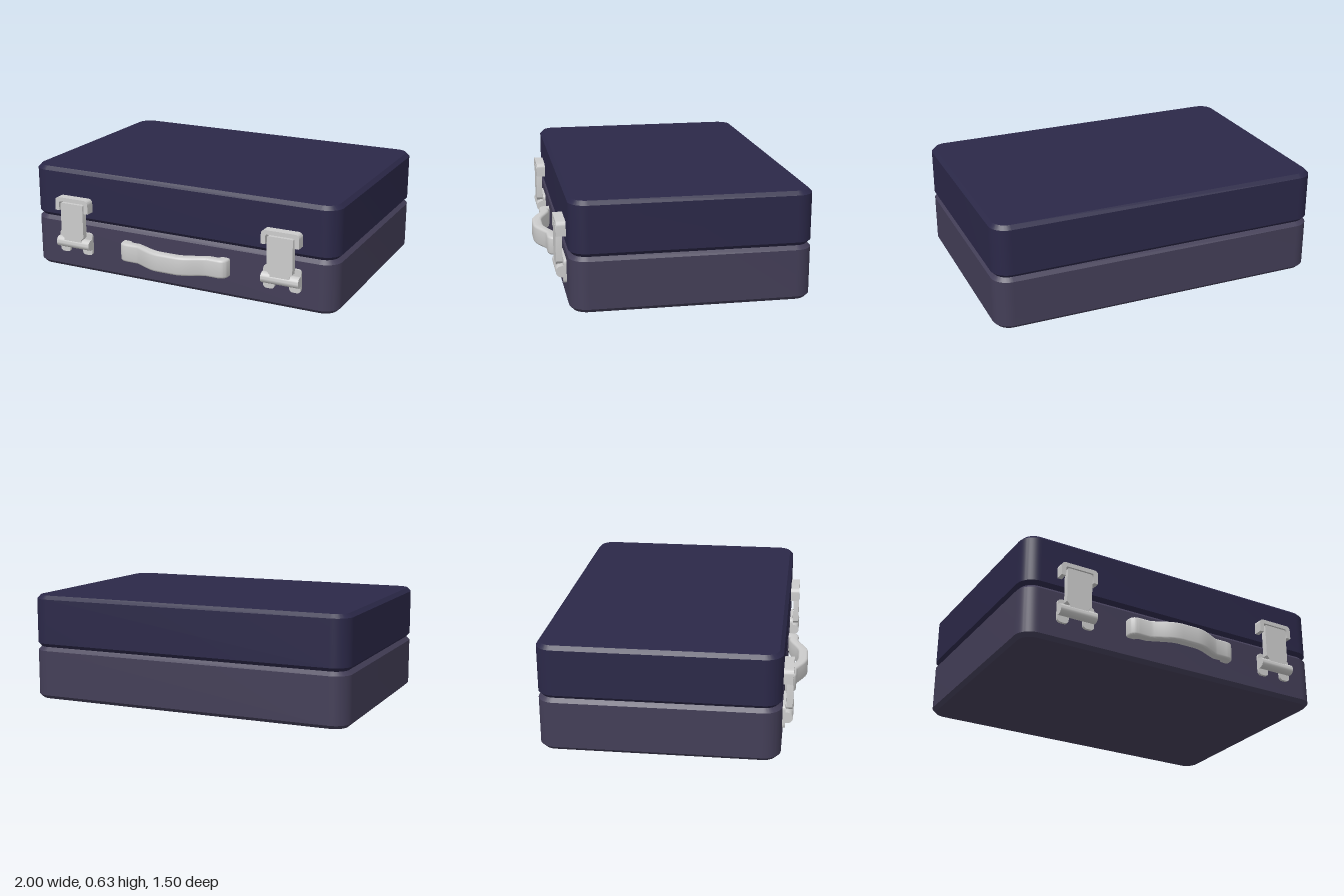
import * as THREE from 'three';
import { toCreasedNormals } from 'three/addons/utils/BufferGeometryUtils.js';

const FRONT = 0.617, BACK = -0.75;

const lidMat = new THREE.MeshStandardMaterial({ color: 0x2b2848 });
const baseMat = new THREE.MeshStandardMaterial({ color: 0x433e57 });
const metalMat = new THREE.MeshStandardMaterial({ color: 0xcccccc });

function roundedRect(x0, y0, x1, y1, r) {
  const s = new THREE.Shape();
  s.absarc(x1 - r, y0 + r, r, -Math.PI / 2, 0);
  s.absarc(x1 - r, y1 - r, r, 0, Math.PI / 2);
  s.absarc(x0 + r, y1 - r, r, Math.PI / 2, Math.PI);
  s.absarc(x0 + r, y0 + r, r, Math.PI, Math.PI * 1.5);
  s.closePath();
  return s;
}

// Extrusion from 0 to depth, with the bevel kept inside the outline
function extrude(shape, depth, bevel, bevelSegments = 1, curveSegments = 8) {
  const g = new THREE.ExtrudeGeometry(shape, {
    depth: depth - 2 * bevel, curveSegments, bevelEnabled: bevel > 0,
    bevelThickness: bevel, bevelSize: bevel, bevelOffset: -bevel, bevelSegments,
  });
  return g.translate(0, 0, bevel);
}

function part(name, geometry, material = metalMat) {
  const mesh = new THREE.Mesh(toCreasedNormals(geometry, 0.6), material);
  mesh.name = name;
  return mesh;
}

// One half of the case: rounded corners and chamfered rims
function shell(name, y0, y1, material) {
  const g = extrude(roundedRect(-1, -FRONT, 1, -BACK, 0.1), y1 - y0, 0.022);
  g.rotateX(-Math.PI / 2).translate(0, y0, 0);
  return part(name, g, material);
}

function latch(x) {
  const group = new THREE.Group();
  group.name = 'latch';
  group.position.set(x, 0, FRONT);

  // Mounting plate with two rounded feet
  const p = new THREE.Shape();
  p.moveTo(-0.115, 0.135);
  p.quadraticCurveTo(-0.115, 0.11, -0.09, 0.11);
  p.lineTo(-0.07, 0.11);
  p.quadraticCurveTo(-0.045, 0.11, -0.045, 0.135);
  p.lineTo(-0.045, 0.17);
  p.lineTo(0.045, 0.17);
  p.lineTo(0.045, 0.135);
  p.quadraticCurveTo(0.045, 0.11, 0.07, 0.11);
  p.lineTo(0.09, 0.11);
  p.quadraticCurveTo(0.115, 0.11, 0.115, 0.135);
  p.lineTo(0.115, 0.225);
  p.quadraticCurveTo(0.115, 0.25, 0.09, 0.25);
  p.lineTo(-0.09, 0.25);
  p.quadraticCurveTo(-0.115, 0.25, -0.115, 0.225);
  p.closePath();
  group.add(part('mountingPlate', extrude(p, 0.021, 0).translate(0, 0, -0.005)));

  // Hinge barrel across the plate
  const barrel = new THREE.CylinderGeometry(0.033, 0.033, 0.23, 24);
  barrel.rotateZ(Math.PI / 2).translate(0, 0.18, 0.027);
  group.add(part('hingeBarrel', barrel));

  // Flap that swings up over the seam
  const f = new THREE.Shape();
  f.moveTo(-0.06, 0.18);
  f.lineTo(0.06, 0.18);
  f.lineTo(0.06, 0.21);
  f.lineTo(0.078, 0.228);
  f.lineTo(0.078, 0.425);
  f.quadraticCurveTo(0.078, 0.435, 0.068, 0.435);
  f.lineTo(-0.068, 0.435);
  f.quadraticCurveTo(-0.078, 0.435, -0.078, 0.425);
  f.lineTo(-0.078, 0.228);
  f.lineTo(-0.06, 0.21);
  f.closePath();
  group.add(part('flap', extrude(f, 0.036, 0).translate(0, 0, 0.019)));

  // Arched catch on the lid
  const c = new THREE.Shape();
  c.moveTo(0.115, 0.385);
  c.lineTo(0.115, 0.44);
  c.quadraticCurveTo(0.115, 0.468, 0.087, 0.468);
  c.lineTo(-0.087, 0.468);
  c.quadraticCurveTo(-0.115, 0.468, -0.115, 0.44);
  c.lineTo(-0.115, 0.385);
  c.lineTo(-0.088, 0.385);
  c.lineTo(-0.088, 0.43);
  c.quadraticCurveTo(-0.088, 0.443, -0.075, 0.443);
  c.lineTo(0.075, 0.443);
  c.quadraticCurveTo(0.088, 0.443, 0.088, 0.43);
  c.lineTo(0.088, 0.385);
  c.closePath();
  group.add(part('catch', extrude(c, 0.06, 0).translate(0, 0, -0.005)));
  return group;
}

// Bowed grip outlined in plan, extruded upward with soft edges
function handle() {
  const s = new THREE.Shape();
  s.moveTo(-0.355, 0.6);
  s.lineTo(-0.295, 0.6);
  s.quadraticCurveTo(-0.295, 0.625, -0.275, 0.625);
  s.lineTo(-0.235, 0.625);
  s.bezierCurveTo(-0.17, 0.645, -0.11, 0.687, -0.05, 0.687);
  s.lineTo(0.05, 0.687);
  s.bezierCurveTo(0.11, 0.687, 0.17, 0.645, 0.235, 0.625);
  s.lineTo(0.275, 0.625);
  s.quadraticCurveTo(0.295, 0.625, 0.295, 0.6);
  s.lineTo(0.355, 0.6);
  s.lineTo(0.355, 0.63);
  s.quadraticCurveTo(0.355, 0.683, 0.3, 0.683);
  s.lineTo(0.23, 0.683);
  s.bezierCurveTo(0.17, 0.705, 0.12, 0.748, 0.05, 0.748);
  s.lineTo(-0.05, 0.748);
  s.bezierCurveTo(-0.12, 0.748, -0.17, 0.705, -0.23, 0.683);
  s.lineTo(-0.3, 0.683);
  s.quadraticCurveTo(-0.355, 0.683, -0.355, 0.63);
  s.closePath();
  const g = extrude(s, 0.113, 0.014, 3, 10);
  g.rotateX(Math.PI / 2).translate(0, 0.243, 0);
  return part('handle', g);
}

export function createModel() {
  const model = new THREE.Group();
  model.name = 'briefcase';
  model.add(shell('base', 0, 0.318, baseMat));
  model.add(shell('lid', 0.318, 0.632, lidMat));
  for (const side of [-1, 1]) model.add(latch(side * 0.685));
  model.add(handle());
  return model;
}
